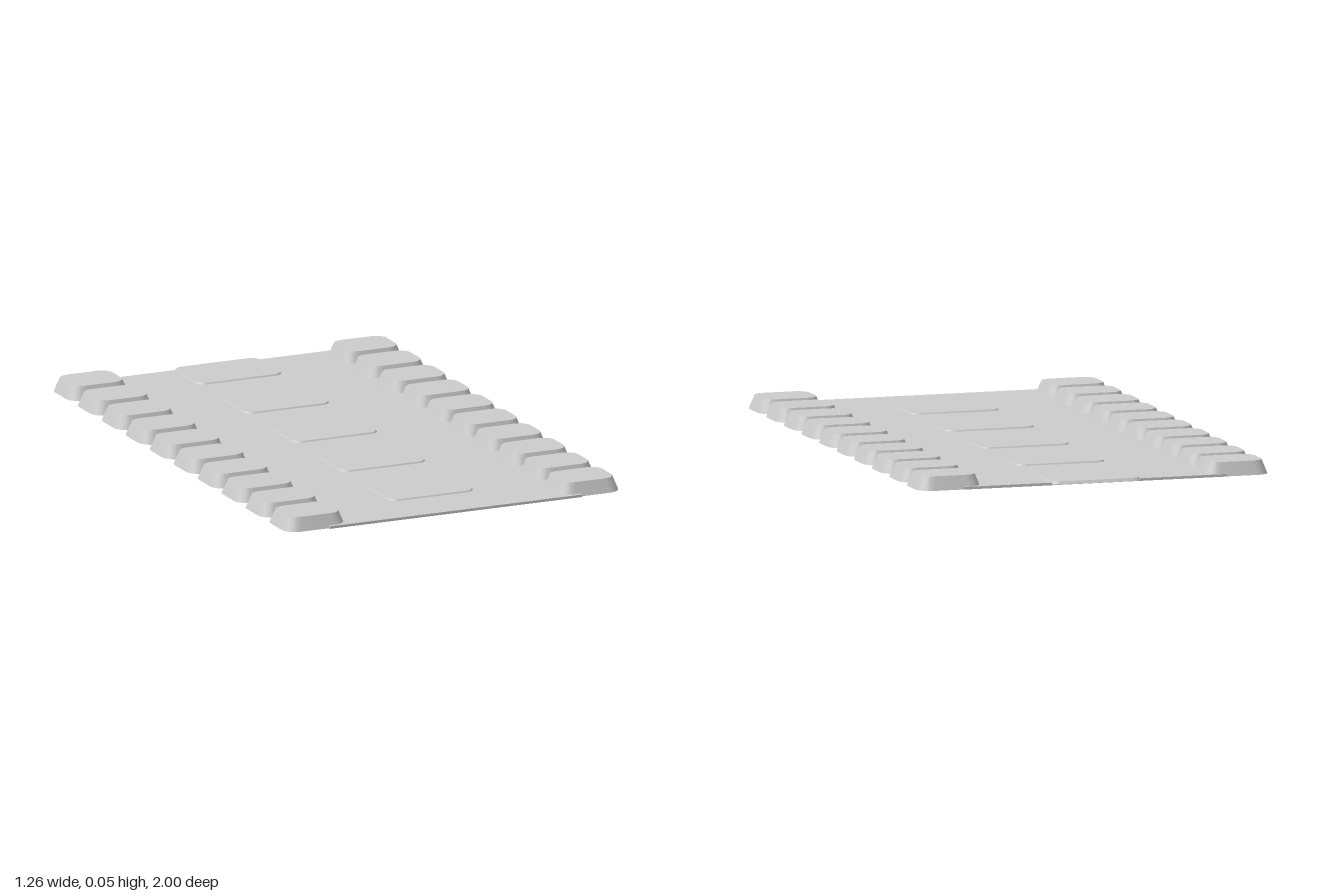
import * as THREE from 'three';
import { toCreasedNormals } from 'three/addons/utils/BufferGeometryUtils.js';

// Rounded slab standing on y = 0 whose top is smaller than its bottom
function taperedSlab(w, d, h, r, topW, topD) {
  const x = w / 2, y = d / 2;
  const s = new THREE.Shape();
  s.moveTo(-x + r, -y);
  s.lineTo(x - r, -y);
  s.absarc(x - r, -y + r, r, -Math.PI / 2, 0);
  s.lineTo(x, y - r);
  s.absarc(x - r, y - r, r, 0, Math.PI / 2);
  s.lineTo(-x + r, y);
  s.absarc(-x + r, y - r, r, Math.PI / 2, Math.PI);
  s.lineTo(-x, -y + r);
  s.absarc(-x + r, -y + r, r, Math.PI, Math.PI * 1.5);
  const g = new THREE.ExtrudeGeometry(s, { depth: h, bevelEnabled: false, curveSegments: 5 });
  g.rotateX(-Math.PI / 2);
  const p = g.attributes.position;
  for (let i = 0; i < p.count; i++) {
    if (p.getY(i) > h / 2) {
      p.setX(i, p.getX(i) * topW / w);
      p.setZ(i, p.getZ(i) * topD / d);
    }
  }
  return toCreasedNormals(g, 0.6);
}

export function createModel() {
  const model = new THREE.Group();
  const material = new THREE.MeshStandardMaterial({ color: 0xcccccc });
  const add = (name, geometry, x, y, z) => {
    const mesh = new THREE.Mesh(geometry, material);
    mesh.name = name;
    mesh.position.set(x, y, z);
    model.add(mesh);
  };

  // Thin flat bed
  add('bed', new THREE.BoxGeometry(0.95, 0.009, 1.98), 0, 0.0045, 0.01);

  // Raised blocks along both edges
  const block = taperedSlab(0.232, 0.186, 0.048, 0.05, 0.196, 0.152);
  for (let i = 0; i < 10; i++) {
    for (const side of [-1, 1]) {
      add(side > 0 ? 'leftEdgeBlock' : 'rightEdgeBlock', block, side * 0.516, 0, -0.884 + i * 0.198);
    }
  }

  // Low plates down the centre line; the rear one overhangs the bed
  const plate = taperedSlab(0.328, 0.23, 0.01, 0.036, 0.316, 0.218);
  for (let i = 0; i < 5; i++) {
    add('centrePlate', plate, 0, 0.004, -0.885 + i * 0.396);
  }

  return model;
}
